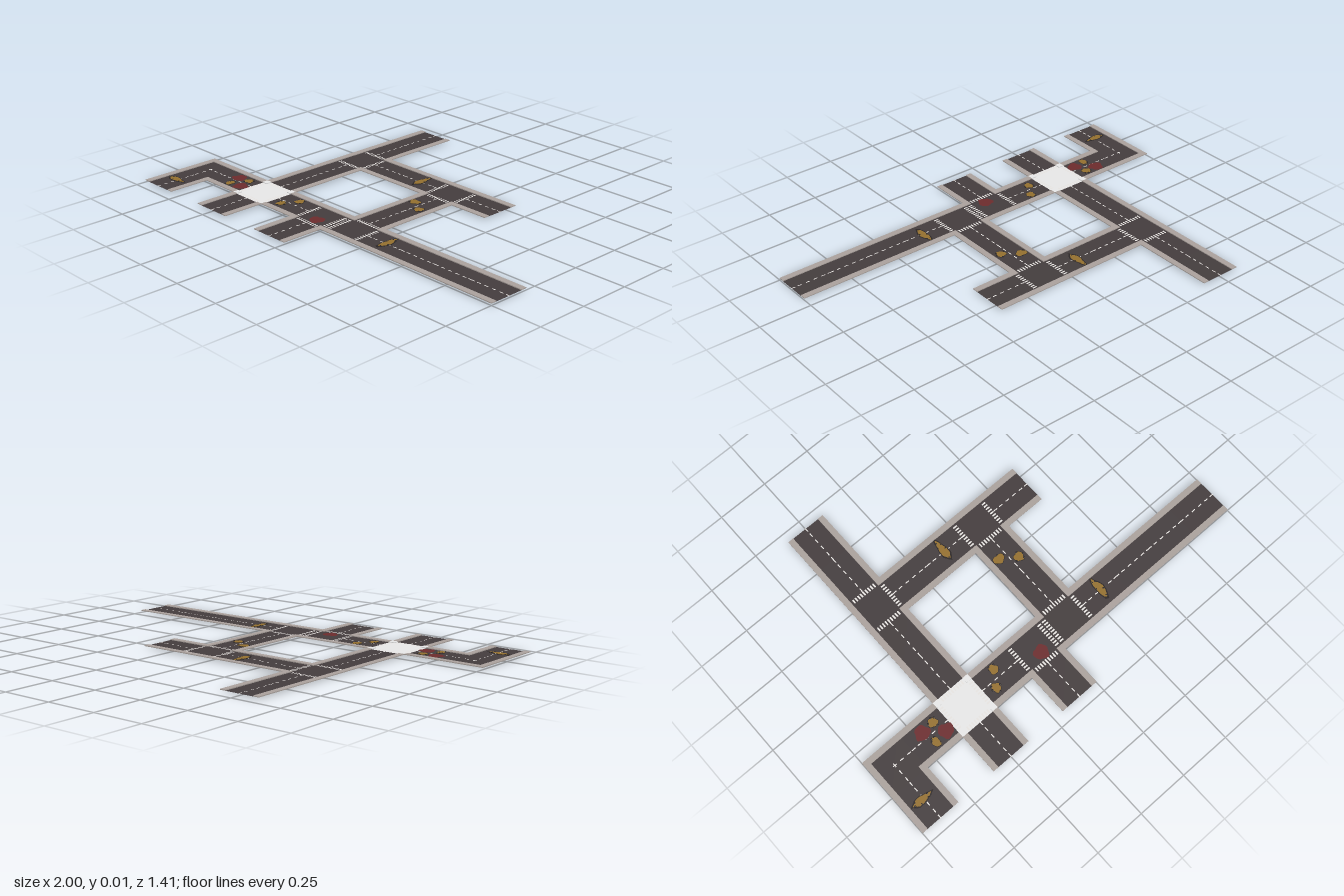
import * as THREE from 'three';
import { mergeGeometries } from 'three/addons/utils/BufferGeometryUtils.js';

const TILE = 0.2, CURB = 0.028, ROAD_Y = 0.008, WALK_TOP = 0.012;

// street plan: one letter per tile, w = white crossing
const PLAN = [
  '..r.......',
  '..r.......',
  '..rrrrr...',
  '..r..r....',
  '..r..r....',
  'rrwrrrrrrr',
  'r.r.r.....',
];
// north, east, south, west as [dx, dz]
const DIRS = [[0, -1], [1, 0], [0, 1], [-1, 0]];

const material = (name, color, side = THREE.FrontSide) => {
  const m = new THREE.MeshStandardMaterial({ color, side });
  m.name = name;
  return m;
};

let seed = 11;
const random = () => {
  seed = (seed * 16807) % 2147483647;
  return seed / 2147483647;
};

const box = (x, y, z, w, h, d) => new THREE.BoxGeometry(w, h, d).translate(x, y, z);

// thin plate facing up
const plate = (x, y, z, w, d) =>
  new THREE.PlaneGeometry(w, d).rotateX(-Math.PI / 2).translate(x, y, z);

// shallow slab with a ragged or lens-shaped outline, narrower at its foot
function patch(x, z, rx, rz, bottom, top, lens, phase) {
  const g = new THREE.CylinderGeometry(1, 0.75, top - bottom, 16, 1);
  const p = g.attributes.position;
  for (let i = 0; i < p.count; i++) {
    const px = p.getX(i), pz = p.getZ(i);
    const r = Math.hypot(px, pz), a = Math.atan2(pz, px);
    const ragged = 1 + 0.1 * Math.sin(3 * a + phase) + 0.08 * Math.sin(5 * a + phase * 2);
    let u = px * ragged, v = pz * ragged;
    if (lens && r > 0) {
      // pinch the shape to points along its longer axis
      if (rx > rz) v *= Math.abs(Math.sin(a));
      else u *= Math.abs(Math.cos(a));
    }
    p.setX(i, u * rx);
    p.setZ(i, v * rz);
  }
  g.computeVertexNormals();
  return g.translate(x, (top + bottom) / 2, z);
}

export function createModel() {
  const model = new THREE.Group();
  model.name = 'streetNetwork';
  const asphalt = material('asphalt', 0x443d3e, THREE.DoubleSide);
  const pavement = material('pavement', 0xaaa19c);
  const paint = material('roadPaint', 0xe6e3e0);
  const white = material('whiteCrossing', 0xffffff, THREE.DoubleSide);
  const earth = material('earth', 0x94702f);
  const rubble = material('rubble', 0x2b2626);
  const stain = material('redStain', 0x6c2b2d);

  const road = [], walks = [], dashes = [], stripes = [], whiteTile = [];
  const at = (c, r) => (PLAN[r] && PLAN[r][c] && PLAN[r][c] !== '.') || false;

  // tiles
  PLAN.forEach((line, r) => [...line].forEach((kind, c) => {
    if (kind === '.') return;
    const x = -1 + (c + 0.5) * TILE, z = -0.7 + (r + 0.5) * TILE;
    const open = DIRS.map(([dx, dz]) => at(c + dx, r + dz));
    const count = open.filter(Boolean).length;
    // a dead end stays open on its far side
    if (count === 1) open[(open.indexOf(true) + 2) % 4] = true;
    const junction = count > 2;
    const corner = !junction && !((open[0] && open[2]) || (open[1] && open[3]));
    const curbs = kind === 'w' ? whiteTile : walks;
    (kind === 'w' ? whiteTile : road).push(plate(x, ROAD_Y, z, TILE, TILE));

    const off = TILE / 2 - CURB / 2, h = WALK_TOP - ROAD_Y, y = ROAD_Y + h / 2;
    // corner blocks of the pavement
    for (const sx of [-1, 1]) for (const sz of [-1, 1])
      curbs.push(box(x + sx * off, y, z + sz * off, CURB, h, CURB));

    DIRS.forEach(([dx, dz], i) => {
      const inner = TILE - 2 * CURB;
      if (!open[i]) {
        // pavement along a closed side
        curbs.push(box(x + dx * off, y, z + dz * off,
          dx ? CURB : inner, h, dx ? inner : CURB));
      } else if (junction) {
        // zebra stripes across an open side
        for (let k = -4; k <= 4; k++) {
          const s = k * 0.0145;
          stripes.push(plate(x + dx * 0.086 + (dx ? 0 : s), ROAD_Y + 0.0008,
            z + dz * 0.086 + (dx ? s : 0), dx ? 0.021 : 0.0075, dx ? 0.0075 : 0.021));
        }
      } else {
        // centre dashes from the middle to the edge
        for (const d of corner ? [0, 0.04, 0.08] : [0.02, 0.06, 0.093]) {
          dashes.push(plate(x + dx * d, ROAD_Y + 0.0008, z + dz * d,
            dx ? 0.02 : 0.005, dx ? 0.005 : 0.02));
        }
      }
    });

    // pavement blocks beside straight open ends are only kept at junctions and bends
  }));

  // potholes: x, z, half width, half depth, lens-shaped
  const holes = [], rims = [], stones = [];
  const potholes = [
    [-0.1, -0.21, 0.018, 0.055, true],
    [0.305, 0.39, 0.018, 0.055, true],
    [-0.91, 0.59, 0.05, 0.017, true],
    [0.06, -0.01, 0.028, 0.021, false],
    [0.135, 0.04, 0.023, 0.022, false],
    [-0.7, 0.44, 0.017, 0.024, false],
    [-0.655, 0.365, 0.022, 0.021, false],
    [-0.3, 0.36, 0.02, 0.023, false],
    [-0.345, 0.43, 0.02, 0.023, false],
  ];
  potholes.forEach(([x, z, rx, rz, lens], i) => {
    holes.push(patch(x, z, rx, rz, 0, ROAD_Y + 0.0024, lens, i));
    const grow = lens ? 1.25 : 1.1;
    rims.push(patch(x, z, rx * grow, rz * grow, ROAD_Y - 0.003, ROAD_Y + 0.0014, lens, i));
    // loose lumps around the rim
    for (let k = 0; k < 5; k++) {
      const a = (k + random()) * Math.PI * 0.4, s = 0.003 + random() * 0.0025;
      const pinch = lens ? 0.8 : 1.05;
      stones.push(new THREE.DodecahedronGeometry(s).scale(1, 0.6, 1)
        .translate(x + Math.cos(a) * rx * pinch, ROAD_Y + 0.002, z + Math.sin(a) * rz * pinch)
        .toNonIndexed());
    }
  });

  // red stains
  const stains = [[-0.72, 0.37], [-0.635, 0.43], [-0.09, 0.44]].map(([x, z], i) =>
    patch(x, z, 0.036, 0.034, ROAD_Y + 0.0002, ROAD_Y + 0.0012, false, i * 2));

  const add = (name, parts, mat) => {
    const mesh = new THREE.Mesh(mergeGeometries(parts), mat);
    mesh.name = name;
    model.add(mesh);
  };
  add('roadSurface', road, asphalt);
  add('pavements', walks, pavement);
  add('centreDashes', dashes, paint);
  add('zebraCrossings', stripes, paint);
  add('whiteCrossing', whiteTile, white);
  add('potholes', holes, earth);
  add('potholeRims', rims, rubble);
  add('looseLumps', stones.map((g) => g), rubble);
  add('redStains', stains, stain);
  return model;
}
